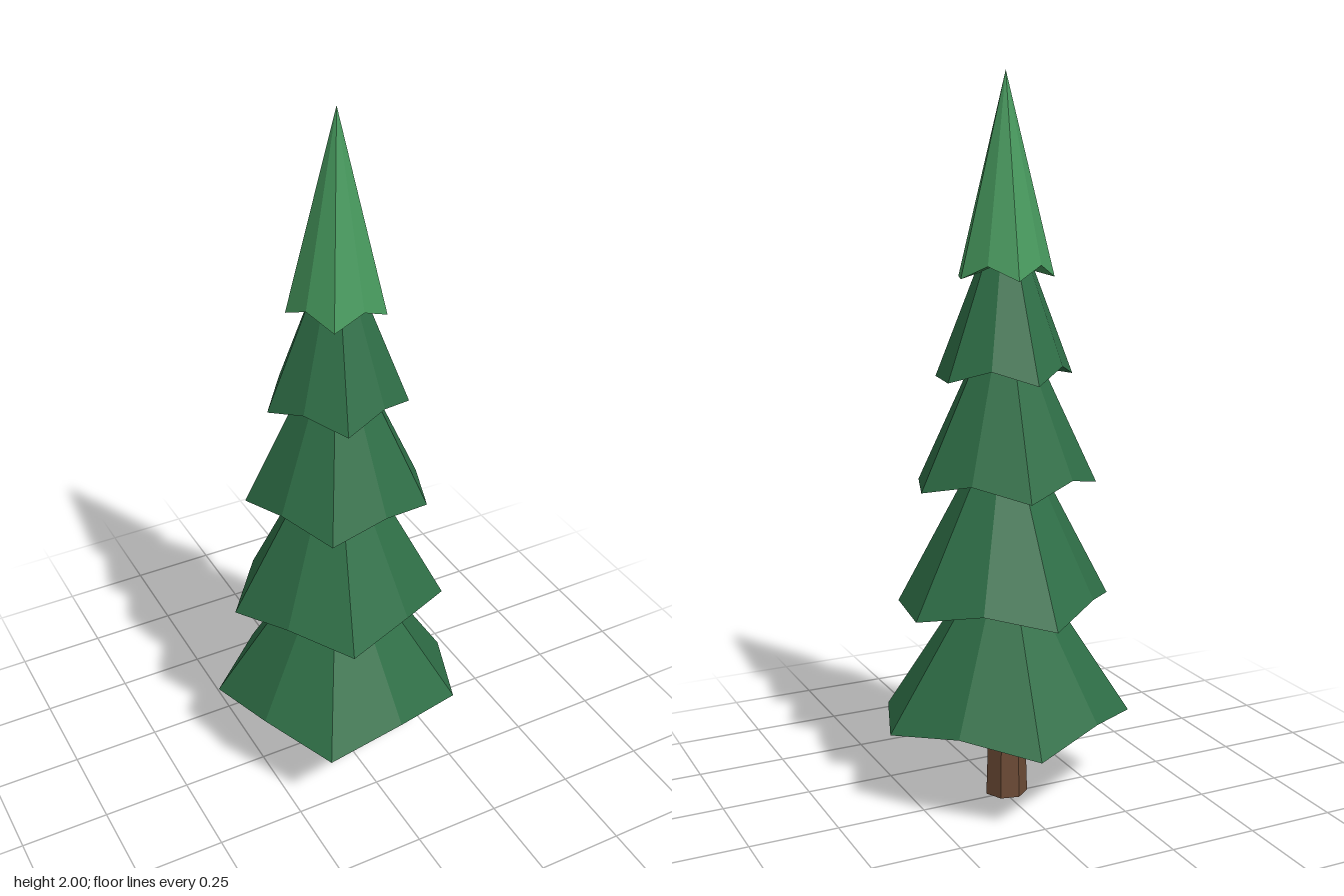
import * as THREE from 'three';

const mat = (name, color) => {
  const m = new THREE.MeshStandardMaterial({ color });
  m.name = name;
  return m;
};

// Nine-sided cone whose rim alternates between long low tips and short raised notches
function tierGeometry(radius, height) {
  const sides = 9, lift = 0.037;
  const rim = [];
  for (let i = 0; i < sides; i++) {
    const a = (-i / sides) * Math.PI * 2;
    const notch = i % 2 === 1;
    const r = radius * (notch ? 0.86 : 1);
    rim.push([r * Math.cos(a), notch ? lift : 0, r * Math.sin(a)]);
  }
  const apex = [0, height, 0], under = [0, lift, 0];
  const pos = [];
  for (let i = 0; i < sides; i++) {
    const p = rim[i], q = rim[(i + 1) % sides];
    pos.push(...p, ...q, ...apex, ...q, ...p, ...under);
  }
  const g = new THREE.BufferGeometry();
  g.setAttribute('position', new THREE.Float32BufferAttribute(pos, 3));
  g.computeVertexNormals(); // unshared corners give flat facets
  return g;
}

export function createModel() {
  const tree = new THREE.Group();
  tree.name = 'pineTree';
  const bark = mat('bark', 0x6b4a35);
  const needles = mat('needles', 0x2f6f47);
  const freshNeedles = mat('freshNeedles', 0x479a5e);

  // Tapered trunk
  const trunkGeo = new THREE.CylinderGeometry(0.048, 0.061, 0.4, 7).toNonIndexed();
  trunkGeo.rotateY(Math.PI / 2);
  trunkGeo.computeVertexNormals();
  const trunk = new THREE.Mesh(trunkGeo, bark);
  trunk.name = 'trunk';
  trunk.position.y = 0.2;
  tree.add(trunk);

  // Foliage tiers: base height, tip radius, cone height
  const tiers = [
    [0.23, 0.35, 0.55],
    [0.563, 0.3, 0.57],
    [0.9, 0.25, 0.54],
    [1.198, 0.19, 0.49],
    [1.465, 0.131, 0.535],
  ];
  tiers.forEach(([y, radius, height], i) => {
    const top = i === tiers.length - 1;
    const tier = new THREE.Mesh(tierGeometry(radius, height), top ? freshNeedles : needles);
    tier.name = top ? 'topTier' : `foliageTier${i + 1}`;
    tier.position.y = y;
    tier.rotation.y = i % 2 ? 0.2 : 0; // every other tier is turned a little
    tree.add(tier);
  });

  tree.position.set(-0.012, 0, 0.02);
  return tree;
}
